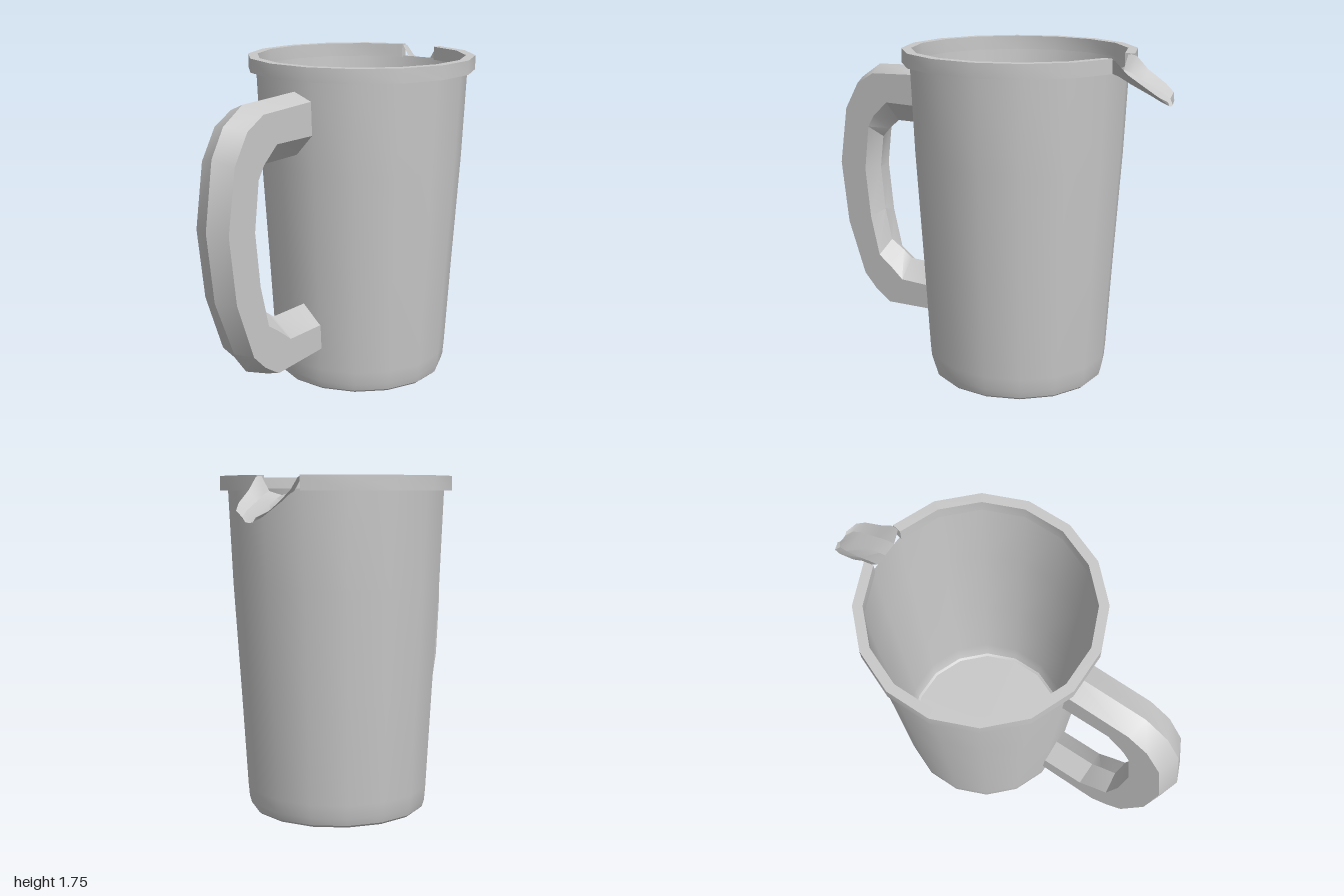
import * as THREE from 'three';
import { toCreasedNormals } from 'three/addons/utils/BufferGeometryUtils.js';

const SIDES = 16;
const STEP = (Math.PI * 2) / SIDES;
const CREASE = 0.5;

const plastic = new THREE.MeshStandardMaterial({ color: 0xc8c8c8, side: THREE.DoubleSide });
plastic.name = 'grey plastic';

function part(name, geometry) {
  const mesh = new THREE.Mesh(toCreasedNormals(geometry, CREASE), plastic);
  mesh.name = name;
  return mesh;
}

function lathe(profile, segments, start = 0) {
  const points = profile.map(([r, y]) => new THREE.Vector2(r, y));
  return new THREE.LatheGeometry(points, segments, start, segments * STEP);
}

// Skins a row of cross-sections; closed sections also get end caps
function loft(rings, closed) {
  const n = rings[0].length;
  const index = [];
  for (let i = 0; i < rings.length - 1; i++) {
    for (let j = 0; j < (closed ? n : n - 1); j++) {
      const k = (j + 1) % n;
      const a = i * n + j, b = i * n + k, c = a + n, d = b + n;
      index.push(a, c, b, b, c, d);
    }
  }
  if (closed) {
    const e = (rings.length - 1) * n;
    for (let k = 1; k < n - 1; k++) index.push(0, k, k + 1, e, e + k + 1, e + k);
  }
  const g = new THREE.BufferGeometry();
  g.setAttribute('position', new THREE.Float32BufferAttribute(rings.flat(2), 3));
  g.setIndex(index);
  return g.toNonIndexed();
}

export function createModel() {
  const jug = new THREE.Group();
  jug.name = 'jug';
  const body = new THREE.Group();
  body.name = 'body';
  body.position.z = -0.173;
  jug.add(body);

  // Tapered wall with a rounded foot and a flat floor
  body.add(part('wall', lathe([
    [0, 0], [0.452, 0], [0.465, 0.012], [0.476, 0.05], [0.482, 0.12],
    [0.51, 0.62], [0.545, 1.2], [0.565, 1.68],
  ], SIDES)));

  // Rim band, open for one side where the spout sits
  const [r0, r1, y0, y1] = [0.555, 0.605, 1.672, 1.745];
  const rimStart = Math.PI + STEP;
  body.add(part('rim', lathe(
    [[r0, y0], [r1, y0], [r1, y1], [r0, y1], [r0, y0]], SIDES - 1, rimStart)));
  for (const angle of [Math.PI, rimStart]) {
    const end = new THREE.PlaneGeometry(r1 - r0, y1 - y0);
    end.translate((r0 + r1) / 2, (y0 + y1) / 2, 0);
    end.rotateY(angle - Math.PI / 2);
    body.add(part('rimEnd', end));
  }

  // Handle and spout face the middle of one side of the wall
  const fittings = new THREE.Group();
  fittings.name = 'fittings';
  fittings.rotation.y = STEP / 2;
  body.add(fittings);

  // Handle sections as [radius, height]: outer ridge, outer edge, inner edge, inner ridge
  const w = 0.105;
  const sections = [
    [[0.53, 1.612], [0.53, 1.572], [0.53, 1.4], [0.53, 1.29]],
    [[0.928, 1.595], [0.897, 1.555], [0.805, 1.4], [0.805, 1.285]],
    [[1.06, 1.51], [1.01, 1.49], [0.9, 1.315], [0.87, 1.23]],
    [[1.142, 1.37], [1.1, 1.34], [0.94, 1.25], [0.92, 1.18]],
    [[1.195, 1.03], [1.152, 1.02], [0.973, 1.0], [0.945, 1.0]],
    [[1.152, 0.67], [1.11, 0.67], [0.942, 0.72], [0.92, 0.75]],
    [[1.03, 0.37], [1.0, 0.37], [0.887, 0.5], [0.877, 0.57]],
    [[0.948, 0.25], [0.92, 0.29], [0.8, 0.44], [0.79, 0.52]],
    [[0.805, 0.19], [0.82, 0.225], [0.724, 0.38], [0.734, 0.48]],
    [[0.475, 0.21], [0.475, 0.245], [0.475, 0.38], [0.475, 0.48]],
  ];
  const handleRings = sections.map(([ridge, outer, inner, innerRidge]) => [
    [0, ridge[1], ridge[0]],
    [w, outer[1], outer[0]],
    [w, inner[1], inner[0]],
    [0, innerRidge[1], innerRidge[0]],
    [-w, inner[1], inner[0]],
    [-w, outer[1], outer[0]],
  ]);
  fittings.add(part('handle', loft(handleRings, true)));

  // Spout trough rows: distance out, half width, edge height, centre height
  const spoutRings = [
    [0.56, 0.115, 1.745, 1.65],
    [0.605, 0.115, 1.735, 1.635],
    [0.67, 0.113, 1.675, 1.61],
    [0.77, 0.105, 1.615, 1.57],
    [0.82, 0.088, 1.58, 1.545],
    [0.848, 0.035, 1.55, 1.525],
  ].map(([d, half, edge, centre]) => [
    [-half, edge, -d],
    [-half * 0.6, centre + (edge - centre) * 0.2, -d],
    [0, centre, -d],
    [half * 0.6, centre + (edge - centre) * 0.2, -d],
    [half, edge, -d],
  ]);
  fittings.add(part('spout', loft(spoutRings, false)));

  return jug;
}
